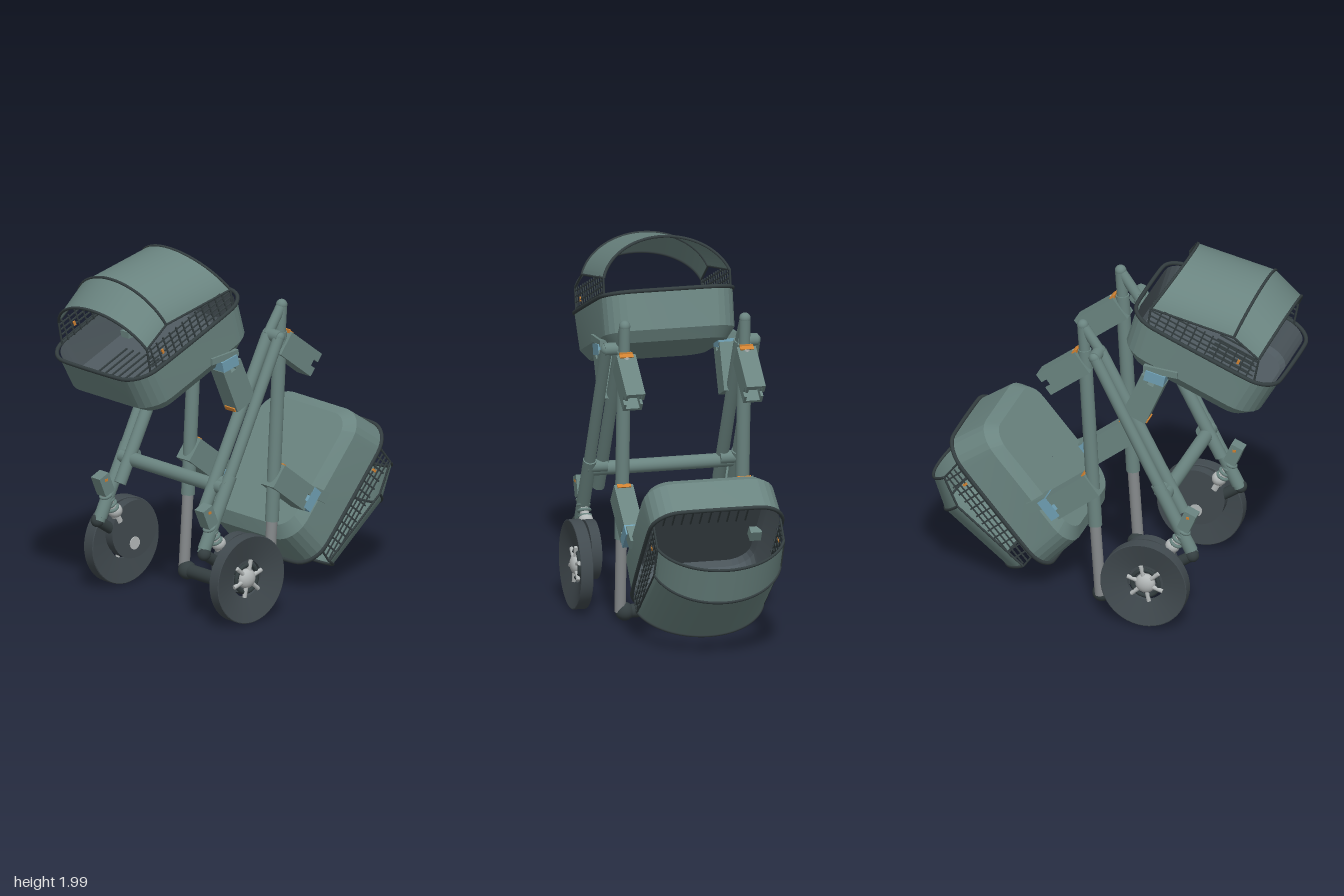
import * as THREE from 'three';
import { toCreasedNormals } from 'three/addons/utils/BufferGeometryUtils.js';

const material = (name, color, side = THREE.FrontSide) => {
  const m = new THREE.MeshStandardMaterial({ color, side });
  m.name = name;
  return m;
};
const fabric = material('sage fabric', 0x6a8480);
const canopyMat = material('sage canopy', 0x6a8480, THREE.DoubleSide);
const lining = material('slate lining', 0x4f5a60);
const tyre = material('tyre grey', 0x414a4f);
const trim = material('dark trim', 0x343e40);
const silver = material('silver', 0xb4b9b9);
const steel = material('steel grey', 0x85898b);
const orange = material('orange', 0xd08232);
const blue = material('blue release', 0x6f9fb3);

const V = (x, y, z) => new THREE.Vector3(x, y, z);

function add(parent, name, geometry, mat, x = 0, y = 0, z = 0) {
  const mesh = new THREE.Mesh(geometry, mat);
  mesh.name = name;
  mesh.position.set(x, y, z);
  parent.add(mesh);
  return mesh;
}

// Cylinder between two points
function rod(parent, name, a, b, r, mat, sides = 20) {
  const d = b.clone().sub(a);
  const m = add(parent, name, new THREE.CylinderGeometry(r, r, d.length(), sides), mat);
  m.position.copy(a).addScaledVector(d, 0.5);
  m.quaternion.setFromUnitVectors(V(0, 1, 0), d.normalize());
}

// Box lying along a line in the side plane
function beam(parent, name, x1, y1, x2, y2, z, height, depth, mat) {
  const m = add(parent, name, new THREE.BoxGeometry(Math.hypot(x2 - x1, y2 - y1), height, depth), mat,
    (x1 + x2) / 2, (y1 + y2) / 2, z);
  m.rotation.z = Math.atan2(y2 - y1, x2 - x1);
}

// Rounded rectangle in plan
function loop(hx, hz, r, y) {
  const pts = [];
  for (let c = 0; c < 4; c++) {
    const sx = c === 0 || c === 3 ? 1 : -1, sz = c < 2 ? 1 : -1;
    for (let i = 0; i <= 6; i++) {
      const a = (c + i / 6) * Math.PI / 2;
      pts.push(V(sx * (hx - r) + r * Math.cos(a), y, sz * (hz - r) + r * Math.sin(a)));
    }
  }
  return pts;
}

// Skin over cross-sections with equal point counts
function loft(rings, closed = true) {
  const n = rings[0].length, pos = [], index = [];
  rings.forEach(ring => ring.forEach(p => pos.push(p.x, p.y, p.z)));
  for (let i = 0; i < rings.length - 1; i++) {
    for (let j = 0; j < (closed ? n : n - 1); j++) {
      const k = (j + 1) % n, a = i * n, b = a + n;
      index.push(a + j, a + k, b + j, a + k, b + k, b + j);
    }
  }
  const g = new THREE.BufferGeometry();
  g.setAttribute('position', new THREE.Float32BufferAttribute(pos, 3));
  g.setIndex(index);
  return toCreasedNormals(g, 0.2);
}

function tube(parent, name, pts, r, mat, closed = false) {
  const curve = new THREE.CatmullRomCurve3(pts, closed, 'centripetal');
  add(parent, name, new THREE.TubeGeometry(curve, 96, r, 8, closed), mat);
}

function createCarrycot() {
  const cot = new THREE.Group();
  cot.name = 'carrycot';
  // Hollow tub
  const outer = [[0.425, 0.364, 0.15, 0], [0.403, 0.36, 0.15, -0.205],
    [0.345, 0.318, 0.11, -0.262], [0.002, 0.002, 0.001, -0.262]];
  const inner = [[0.002, 0.002, 0.001, -0.22], [0.37, 0.325, 0.12, -0.22], [0.39, 0.345, 0.14, -0.19],
    [0.412, 0.352, 0.14, 0]];
  add(cot, 'tub', loft(outer.map(s => loop(...s))), fabric);
  add(cot, 'lining', loft(inner.map(s => loop(...s))), lining);
  tube(cot, 'rim', loop(0.432, 0.364, 0.15, 0.002), 0.011, trim, true);
  for (let i = -5; i <= 5; i++) {
    add(cot, 'floorSlat', new THREE.BoxGeometry(0.24, 0.008, 0.008), trim, -0.12, -0.216, i * 0.05);
  }
  // Canopy: foot u, foot height, peak u, peak height for each hoop
  const hoops = [[-0.293, 0.133, -0.306, 0.306], [-0.122, 0.181, -0.117, 0.383], [0.344, 0.095, 0.303, 0.302]];
  const spread = 1.3;
  const arches = hoops.map(([fu, fh, pu, ph]) => Array.from({ length: 29 }, (_, i) => {
    const a = (1 - i / 14) * spread;
    const t = (Math.cos(a) - Math.cos(spread)) / (1 - Math.cos(spread));
    return V(fu + (pu - fu) * t, fh + (ph - fh) * t, 0.345 * Math.sin(a) / Math.sin(spread));
  }));
  add(cot, 'canopy', loft(arches, false), canopyMat);
  arches.forEach(a => tube(cot, 'canopyHoop', a, 0.008, trim));
  const edge = u => u < -0.122 ? 0.133 + (u + 0.293) * 0.28 : 0.181 - (u + 0.122) * 0.185;
  for (const s of [-1, 1]) {
    const z = s * 0.347;
    for (const [u, hoop] of [[-0.32, hoops[0]], [0.32, hoops[2]]]) {
      rod(cot, 'hoopStay', V(u, 0, z), V(hoop[0], hoop[1], z), 0.006, trim, 6);
    }
    for (let i = 0; i < 2; i++) {
      rod(cot, 'canopyHem', V(hoops[i][0], hoops[i][1], z), V(hoops[i + 1][0], hoops[i + 1][1], z), 0.006, trim, 6);
    }
    // Side netting
    for (let i = 0; i < 12; i++) {
      const u = -0.27 + i * 0.05, h = Math.min(edge(u), 0.13);
      add(cot, 'netUpright', new THREE.BoxGeometry(0.008, h, 0.006), trim, u, h / 2, z);
    }
    for (const h of [0.025, 0.055, 0.085, 0.115]) {
      const end = Math.min(0.33, 0.3 + (0.1 - h) * 2);
      add(cot, 'netWire', new THREE.BoxGeometry(end + 0.3, 0.007, 0.006), trim, (end - 0.3) / 2, h, z);
    }
    add(cot, 'netTag', new THREE.BoxGeometry(0.014, 0.025, 0.008), orange, -0.2, 0.06, z);
  }
  return cot;
}

function createWheel(s) {
  const wheel = new THREE.Group();
  wheel.name = 'wheel';
  const profile = [[0.1, -0.02], [0.236, -0.034], [0.24, -0.03], [0.24, 0.034],
    [0.236, 0.036], [0.1, 0.0], [0.1, -0.02]].map(p => new THREE.Vector2(...p));
  const body = toCreasedNormals(new THREE.LatheGeometry(profile, 48), 0.5);
  add(wheel, 'tyre', body, tyre).rotation.x = s * Math.PI / 2;
  add(wheel, 'hub', new THREE.SphereGeometry(0.055, 24, 16), silver).scale.z = 0.65;
  add(wheel, 'hubRing', new THREE.TorusGeometry(0.074, 0.012, 8, 32), trim);
  for (let i = 0; i < 6; i++) {
    const a = i * Math.PI / 3 + 0.3;
    rod(wheel, 'spoke', V(0.04 * Math.cos(a), 0.04 * Math.sin(a), s * 0.008),
      V(0.103 * Math.cos(a), 0.103 * Math.sin(a), s * 0.008), 0.012, silver, 8);
  }
  return wheel;
}

// Hollow carrycot socket with a catch inside its closed end
function socket(parent, x1, y1, x2, y2, z) {
  const len = Math.hypot(x2 - x1, y2 - y1);
  const g = new THREE.Group();
  g.name = 'socket';
  g.position.set(x1, y1, z);
  g.rotation.z = Math.atan2(y2 - y1, x2 - x1);
  parent.add(g);
  for (const t of [-1, 1]) {
    add(g, 'socketWall', new THREE.BoxGeometry(len, 0.016, 0.1), fabric, len / 2, t * 0.06, 0);
    add(g, 'socketCheek', new THREE.BoxGeometry(len - 0.035, 0.136, 0.014), fabric, (len - 0.035) / 2, 0, t * 0.045);
    for (const e of [-1, 1]) {
      add(g, 'socketLip', new THREE.BoxGeometry(0.035, 0.05, 0.014), fabric, len - 0.018, t * 0.043, e * 0.045);
    }
  }
  add(g, 'socketCore', new THREE.BoxGeometry(len - 0.07, 0.11, 0.08), fabric, (len - 0.07) / 2, 0, 0);
  add(g, 'socketCatch', new THREE.BoxGeometry(0.022, 0.01, 0.075), orange, 0.012, 0.07, 0);
}

function createSide(s) {
  const side = new THREE.Group();
  side.name = s > 0 ? 'leftSide' : 'rightSide';
  const zi = s * 0.33, zo = s * 0.407;
  // Front leg with telescopic foot
  rod(side, 'frontLeg', V(0.01, 0.46, zi), V(0.07, 1.5, zi), 0.037, fabric);
  rod(side, 'frontLegTop', V(0.07, 1.5, zi), V(0.08, 1.64, zi), 0.03, fabric);
  add(side, 'legTip', new THREE.SphereGeometry(0.031, 16, 12), fabric, 0.08, 1.645, zi);
  rod(side, 'frontLegSlider', V(-0.018, 0.05, zi), V(0.01, 0.46, zi), 0.03, steel);
  add(side, 'foot', new THREE.SphereGeometry(0.05, 24, 16), trim, -0.018, 0.05, s * 0.305);
  add(side, 'legCatch', new THREE.BoxGeometry(0.01, 0.035, 0.072), orange, 0.108, 1.49, zi);
  add(side, 'legPin', new THREE.CylinderGeometry(0.016, 0.016, 0.03, 12), silver, 0.122, 1.47, zi);
  // Rear leg and inner sliding tube
  rod(side, 'rearLeg', V(-0.56, 0.41, zo), V(-0.01, 1.5, zo), 0.031, fabric);
  add(side, 'rearLegCap', new THREE.SphereGeometry(0.032, 16, 12), fabric, -0.01, 1.5, zo);
  rod(side, 'rearLegSleeve', V(-0.55, 0.43, zo), V(-0.36, 0.8, zo), 0.036, fabric);
  rod(side, 'innerTube', V(-0.48, 0.62, zi), V(-0.02, 1.5, zi), 0.034, fabric);
  rod(side, 'innerTubeTop', V(-0.02, 1.5, zi), V(0.078, 1.64, zi), 0.028, fabric);
  rod(side, 'hinge', V(-0.01, 1.5, s * 0.31), V(-0.01, 1.5, s * 0.42), 0.034, fabric);
  rod(side, 'sleeveJoint', V(-0.38, 0.76, s * 0.31), V(-0.38, 0.76, s * 0.42), 0.035, fabric);
  // Suspension
  add(side, 'pivot', new THREE.SphereGeometry(0.036, 16, 12), trim, -0.56, 0.41, s * 0.42);
  rod(side, 'swingArm', V(-0.56, 0.41, s * 0.42), V(-0.32, 0.25, s * 0.42), 0.03, trim);
  beam(side, 'shockMount', -0.555, 0.665, -0.51, 0.56, zo, 0.07, 0.07, fabric);
  add(side, 'shockTag', new THREE.BoxGeometry(0.018, 0.014, 0.074), orange, -0.54, 0.64, zo);
  rod(side, 'shockRod', V(-0.53, 0.58, zo), V(-0.42, 0.38, zo), 0.024, silver);
  for (let i = 0; i < 4; i++) {
    const coil = add(side, 'shockCoil', new THREE.TorusGeometry(0.03, 0.009, 8, 20), fabric,
      -0.51 + i * 0.015, 0.545 - i * 0.027, zo);
    coil.quaternion.setFromUnitVectors(V(0, 0, 1), V(0.11, -0.2, 0).normalize());
  }
  add(side, 'shockBall', new THREE.SphereGeometry(0.04, 16, 12), silver, -0.445, 0.445, zo);
  // Wheel, brake drum and axle
  const wheel = createWheel(s);
  wheel.position.set(-0.32, 0.243, s * 0.491);
  side.add(wheel);
  rod(side, 'brakeDrum', V(-0.32, 0.32, s * 0.39), V(-0.32, 0.32, s * 0.445), 0.16, tyre, 40);
  rod(side, 'axle', V(-0.32, 0.243, s * 0.385), V(-0.32, 0.243, s * 0.49), 0.035, silver);
  // Carrycot sockets
  socket(side, 0.068, 1.442, 0.283, 1.278, zi);
  socket(side, 0.015, 0.715, 0.24, 0.54, zi);
  socket(side, -0.22, 1.16, -0.325, 1.4, zi);
  // Carrycot latches
  beam(side, 'upperLatch', -0.39, 1.4, -0.28, 1.425, zi, 0.06, 0.106, blue);
  beam(side, 'upperLatchArm', -0.46, 1.445, -0.27, 1.46, zi, 0.035, 0.09, fabric);
  beam(side, 'lowerLatch', 0.215, 0.49, 0.295, 0.585, zi, 0.06, 0.106, blue);
  beam(side, 'lowerLatchArm', 0.27, 0.575, 0.37, 0.52, zi, 0.06, 0.09, fabric);
  return side;
}

export function createModel() {
  const model = new THREE.Group();
  model.name = 'tandemPram';
  for (const s of [1, -1]) model.add(createSide(s));
  // Cross tubes
  rod(model, 'frontCrossbar', V(-0.018, 0.05, -0.3), V(-0.018, 0.05, 0.3), 0.037, trim);
  rod(model, 'rearCrossbar', V(-0.4, 0.74, -0.4), V(-0.4, 0.74, 0.4), 0.038, fabric);
  // Carrycots
  for (const [name, x, y, deg] of [['upperCarrycot', -0.585, 1.59, 22.7], ['lowerCarrycot', 0.556, 0.481, -130.3]]) {
    const cot = createCarrycot();
    cot.name = name;
    cot.position.set(x, y, 0);
    cot.rotation.z = THREE.MathUtils.degToRad(deg);
    model.add(cot);
  }
  return model;
}
